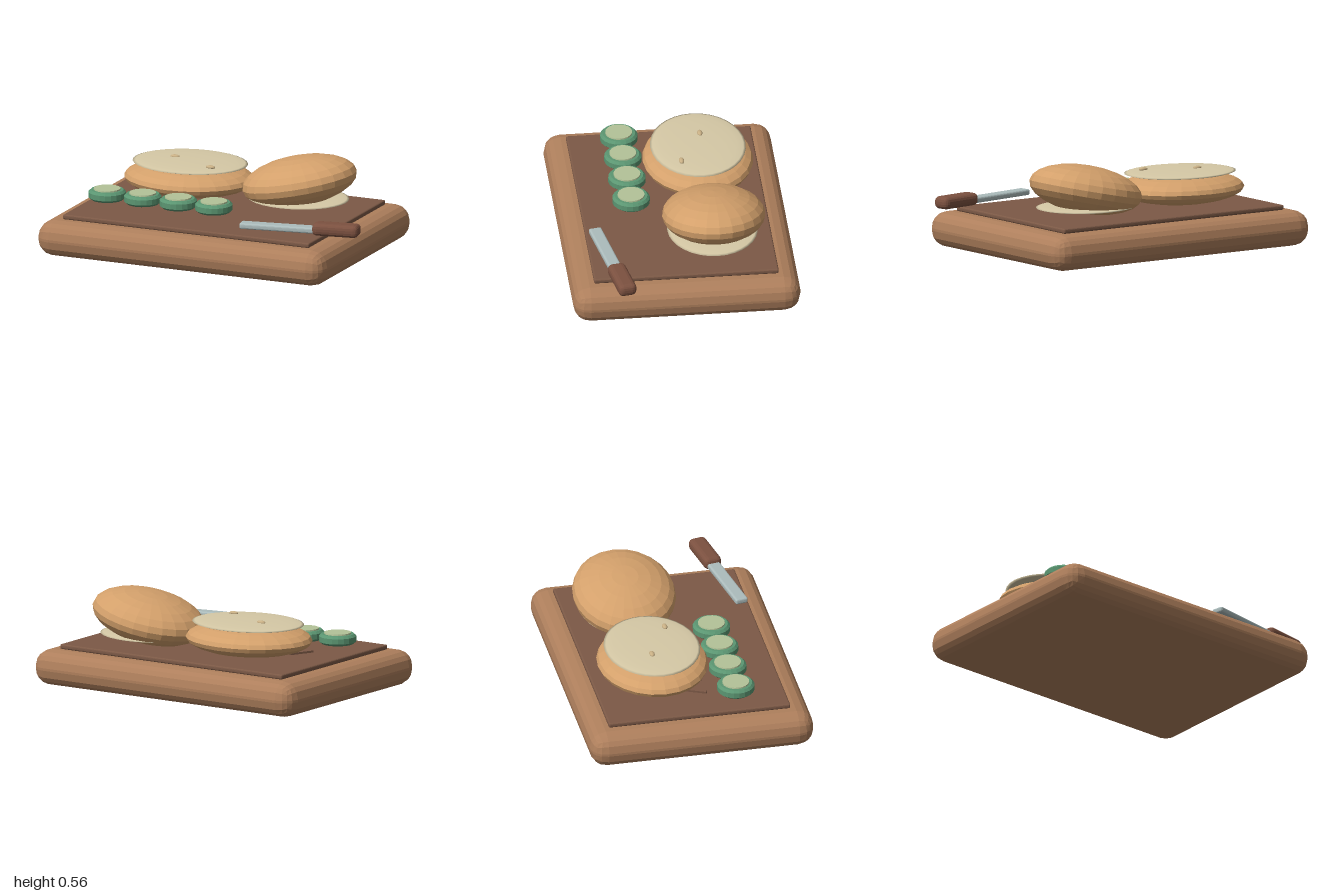
import * as THREE from 'three';
import { RoundedBoxGeometry } from 'three/addons/geometries/RoundedBoxGeometry.js';

const material = (name, color, flatShading = true) => {
  const m = new THREE.MeshStandardMaterial({ color, flatShading });
  m.name = name;
  return m;
};

export function createModel() {
  const model = new THREE.Group();
  model.name = 'breadBoard';

  const wood = material('wood', 0xae7f5c);
  const darkWood = material('darkWood', 0x7c5946);
  const crust = material('crust', 0xd3a06b);
  const crumb = material('crumb', 0xd6c9a6, false);
  const seedTan = material('seedTan', 0xc9b085, false);
  const rind = material('rind', 0x5b9672);
  const flesh = material('flesh', 0xb3c398);
  const steel = material('steel', 0xacbcbc);
  const handleBrown = material('handleBrown', 0x7c5140);

  const add = (parent, name, geometry, mat, x, y, z) => {
    const mesh = new THREE.Mesh(geometry, mat);
    mesh.name = name;
    mesh.position.set(x, y, z);
    parent.add(mesh);
    return mesh;
  };
  const ellipsoid = (rx, ry, rz, w = 24, h = 12) =>
    new THREE.SphereGeometry(1, w, h).scale(rx, ry, rz);

  // Board with a darker cutting panel
  add(model, 'board', new RoundedBoxGeometry(1.88, 0.215, 1.36, 2, 0.1), wood, -0.06, 0.1075, 0);
  add(model, 'cuttingPanel', new RoundedBoxGeometry(1.61, 0.03, 1.105, 2, 0.01), darkWood, -0.06, 0.23, -0.002);

  // Slanted score marks on the panel
  for (const x of [-0.61, -0.46, -0.31]) {
    const mark = add(model, 'scoreMark', new THREE.BoxGeometry(0.016, 0.012, 0.16), darkWood, x, 0.256, 0.013);
    mark.rotation.y = -0.42;
  }

  // Open bun half, cut face up, with two seeds
  const lower = new THREE.Group();
  lower.name = 'lowerBun';
  model.add(lower);
  add(lower, 'lowerCrust', ellipsoid(0.4, 0.095, 0.33), crust, -0.372, 0.35, -0.187);
  add(lower, 'lowerCrumb', ellipsoid(0.355, 0.016, 0.285, 32, 10), crumb, -0.365, 0.445, -0.187);
  for (const [x, z] of [[-0.475, -0.21], [-0.18, -0.07]]) {
    add(lower, 'seed', ellipsoid(0.03, 0.012, 0.016, 12, 8), seedTan, x, 0.461, z);
  }

  // Tilted bun half resting on its cut face
  const upper = new THREE.Group();
  upper.name = 'upperBun';
  model.add(upper);
  const dome = add(upper, 'upperCrust', ellipsoid(0.356, 0.145, 0.308), crust, 0.34, 0.405, -0.207);
  dome.rotation.z = 0.21;
  add(upper, 'upperCrumb', ellipsoid(0.31, 0.014, 0.27, 32, 10), crumb, 0.335, 0.3, -0.2);

  // Row of cucumber slices with bevelled rinds
  const rindProfile = [
    [0, -0.03], [0.095, -0.03], [0.112, -0.016], [0.112, 0.016], [0.098, 0.03], [0, 0.03],
  ].map(([r, y]) => new THREE.Vector2(r, y));
  for (let i = 0; i < 4; i++) {
    const slice = new THREE.Group();
    slice.name = 'cucumberSlice';
    slice.position.set(-0.71 + i * 0.2325, 0.315, 0.25);
    add(slice, 'rind', new THREE.LatheGeometry(rindProfile, 20), rind, 0, 0, 0);
    add(slice, 'flesh', new THREE.CylinderGeometry(0.08, 0.083, 0.02, 20), flesh, 0, 0.028, 0);
    model.add(slice);
  }

  // Knife lying over the board edge
  const knife = new THREE.Group();
  knife.name = 'knife';
  knife.position.set(0.855, 0.307, 0.395);
  knife.rotation.y = 0.175;
  add(knife, 'blade', new RoundedBoxGeometry(0.47, 0.036, 0.078, 2, 0.012), steel, -0.355, -0.01, 0);
  add(knife, 'handle', new RoundedBoxGeometry(0.285, 0.076, 0.11, 2, 0.03), handleBrown, 0, 0, 0);
  model.add(knife);

  return model;
}
